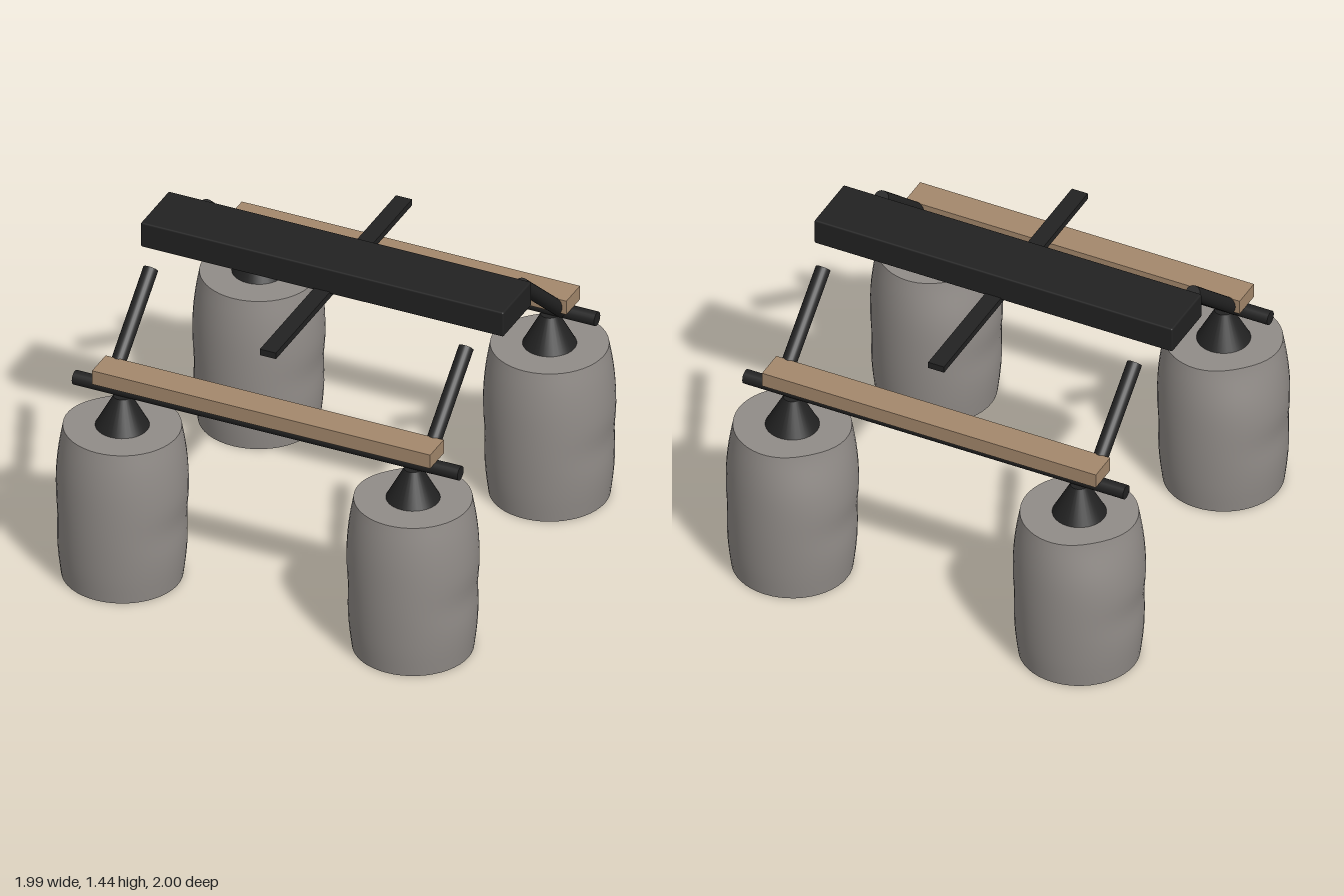
import * as THREE from 'three';
import { mergeVertices } from 'three/addons/utils/BufferGeometryUtils.js';
import { RoundedBoxGeometry } from 'three/addons/geometries/RoundedBoxGeometry.js';

const TRACK = 0.705; // distance of each float from the centre lines

function material(name, color, side = THREE.FrontSide) {
  const m = new THREE.MeshStandardMaterial({ color, side });
  m.name = name;
  return m;
}

// Softly dents a round body: shallow pinches on the sides and one on the shoulder
function dent(geometry) {
  const bell = (v, width) => Math.exp(-((v / width) ** 2));
  const p = geometry.attributes.position;
  for (let i = 0; i < p.count; i++) {
    const x = p.getX(i), y = p.getY(i), z = p.getZ(i);
    const r = Math.hypot(x, z);
    if (r < 1e-5) continue;
    const cos = x / r;
    const corner = Math.max(0, (-x - z) / (r * Math.SQRT2));
    const inward = 0.012 * bell(y - 0.32, 0.09) * cos ** 4 + 0.022 * bell(y - 0.74, 0.16) * corner ** 6;
    const k = 1 - inward / r;
    p.setXYZ(i, x * k, y, z * k);
  }
  geometry.deleteAttribute('uv');
  geometry.deleteAttribute('normal');
  const merged = mergeVertices(geometry, 1e-5);
  merged.computeVertexNormals();
  return merged;
}

export function createModel() {
  const model = new THREE.Group();
  model.name = 'floatFrame';

  const black = material('blackMetal', 0x222222);
  const wood = material('wood', 0xa4886c);
  const grey = material('greyFloat', 0x918c88, THREE.DoubleSide);

  function add(parent, name, geometry, mat, x = 0, y = 0, z = 0) {
    const mesh = new THREE.Mesh(geometry, mat);
    mesh.name = name;
    mesh.position.set(x, y, z);
    parent.add(mesh);
    return mesh;
  }

  // Barrel wall, open underneath, with a flat lid
  const curve = new THREE.SplineCurve([
    [0.269, 0], [0.283, 0.12], [0.292, 0.27], [0.294, 0.42], [0.290, 0.55], [0.279, 0.66], [0.262, 0.76],
  ].map(([r, y]) => new THREE.Vector2(r, y)));
  const wallGeometry = dent(new THREE.LatheGeometry(curve.getPoints(24), 48));
  const lidGeometry = dent(new THREE.CircleGeometry(0.262, 48).rotateX(-Math.PI / 2).translate(0, 0.76, 0));
  const coneGeometry = new THREE.CylinderGeometry(0.04, 0.12, 0.15, 32);

  // Strut runs from the rail up and in towards the middle
  const low = new THREE.Vector3(0, 0.943, TRACK);
  const high = new THREE.Vector3(0, 1.311, 0.284);
  const strutDirection = high.clone().sub(low);
  const strutGeometry = new THREE.CylinderGeometry(0.034, 0.034, strutDirection.length(), 20);

  for (const sz of [1, -1]) {
    const end = sz > 0 ? 'front' : 'back';

    // Cross rail with a plank on top
    add(model, end + 'Rail', new THREE.CylinderGeometry(0.033, 0.033, 1.87, 20).rotateZ(Math.PI / 2),
      black, 0, 0.943, sz * TRACK);
    add(model, end + 'Plank', new THREE.BoxGeometry(1.64, 0.07, 0.14), wood, 0, 1.01, sz * 0.703);

    for (const sx of [1, -1]) {
      const side = sx > 0 ? 'Left' : 'Right';

      // Float with its mounting cone
      const float = new THREE.Group();
      float.name = end + side + 'Float';
      float.position.set(sx * TRACK, 0, sz * TRACK);
      add(float, 'barrelWall', wallGeometry, grey);
      add(float, 'barrelLid', lidGeometry, grey);
      add(float, 'mountCone', coneGeometry, black, 0, 0.835, 0);
      model.add(float);

      // Sloping strut
      const strut = add(model, end + side + 'Strut', strutGeometry, black,
        sx * 0.765, (low.y + high.y) / 2, sz * (low.z + high.z) / 2);
      const direction = strutDirection.clone();
      direction.z *= sz;
      strut.quaternion.setFromUnitVectors(new THREE.Vector3(0, 1, 0), direction.normalize());
    }
  }

  // Top beam and the thin bar crossing under it
  add(model, 'topBeam', new RoundedBoxGeometry(1.76, 0.125, 0.29, 2, 0.008), black, 0, 1.3775, 0);
  add(model, 'crossBar', new THREE.BoxGeometry(0.078, 0.031, 1.405), black, 0, 1.31, 0);

  return model;
}
